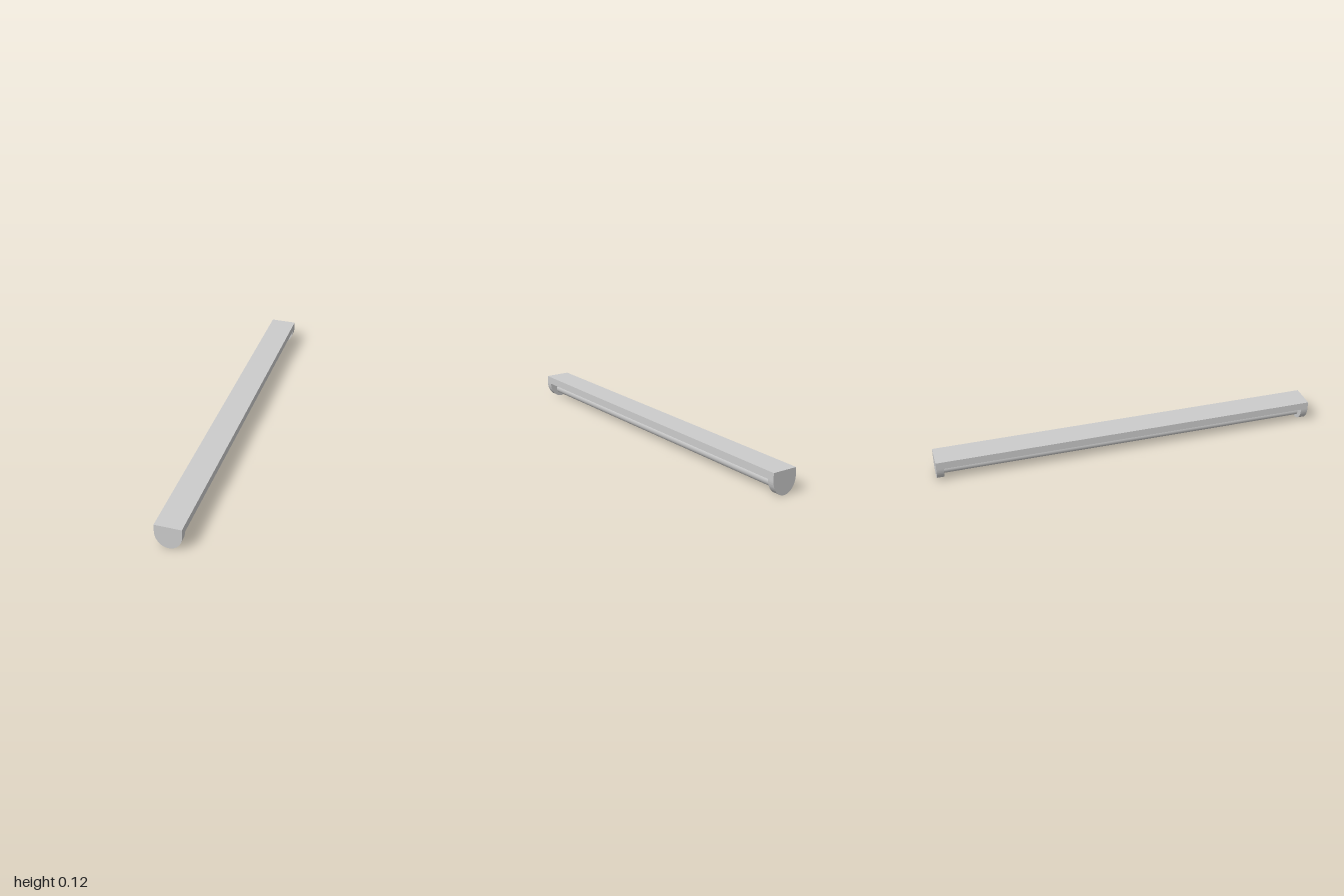
import * as THREE from 'three';
import { toCreasedNormals } from 'three/addons/utils/BufferGeometryUtils.js';

export function createModel() {
  const group = new THREE.Group();
  const material = new THREE.MeshStandardMaterial({ color: 0xcccccc });
  const halfWidth = 0.067, top = 0.12, base = 0.081, capDepth = 0.037;
  const capInner = 1 - capDepth;

  function add(name, geometry, x, y, z) {
    const mesh = new THREE.Mesh(geometry, material);
    mesh.name = name;
    mesh.position.set(x, y, z);
    group.add(mesh);
    return mesh;
  }

  // Flat housing running between the end caps
  add('housing', new THREE.BoxGeometry(halfWidth * 2, top - base, capInner * 2), 0, (top + base) / 2, 0);

  // End caps: straight shoulders over a half ellipse
  const profile = new THREE.Shape();
  profile.moveTo(halfWidth, top);
  profile.lineTo(-halfWidth, top);
  profile.lineTo(-halfWidth, base);
  profile.absellipse(0, base, halfWidth, base, Math.PI, Math.PI * 2, false);
  profile.closePath();
  const capGeometry = toCreasedNormals(
    new THREE.ExtrudeGeometry(profile, { depth: capDepth, bevelEnabled: false, curveSegments: 32 }), 0.6);
  add('frontEndCap', capGeometry, 0, 0, capInner);
  add('backEndCap', capGeometry, 0, 0, -1);

  // Round lamp tube held between the caps
  const tube = add('lampTube', new THREE.CylinderGeometry(0.028, 0.028, capInner * 2 + 0.01, 32), 0, 0.045, 0);
  tube.rotation.x = Math.PI / 2;

  return group;
}
